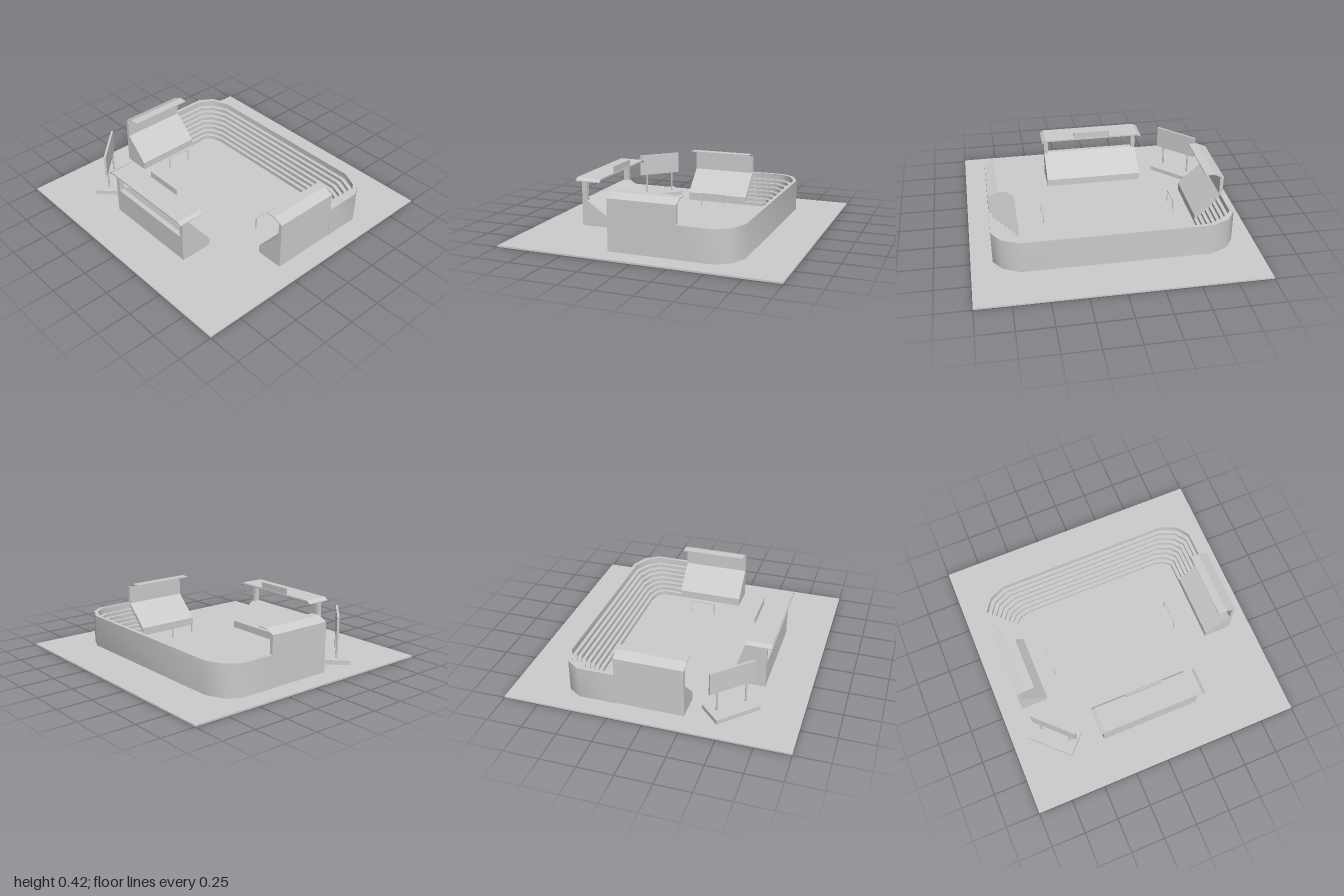
import * as THREE from 'three';
import { toCreasedNormals } from 'three/addons/utils/BufferGeometryUtils.js';

const material = new THREE.MeshStandardMaterial({ color: 0xcccccc });

function add(parent, name, geometry, x = 0, y = 0, z = 0) {
  const mesh = new THREE.Mesh(geometry, material);
  mesh.name = name;
  mesh.position.set(x, y, z);
  parent.add(mesh);
  return mesh;
}

const box = (parent, name, w, h, d, x, y, z) =>
  add(parent, name, new THREE.BoxGeometry(w, h, d), x, y, z);

const outline = (points) => new THREE.Shape(points.map(([x, y]) => new THREE.Vector2(x, y)));

// Extrusion centred on its own depth
function prism(points, depth) {
  const geometry = new THREE.ExtrudeGeometry(outline(points), { depth, bevelEnabled: false });
  return geometry.translate(0, 0, -depth / 2);
}

// Stepped terrace swept round three sides of the pitch
function createTerrace() {
  const group = new THREE.Group();
  group.name = 'terrace';

  // Cross-section: u runs from the pitch edge (0) to the outer wall (1)
  const profile = [[0, 0.004]];
  for (let k = 0; k < 8; k++) {
    const y = k < 7 ? 0.04 + 0.0267 * k : 0.245;
    profile.push([k / 8, y], [(k + 1) / 8, y]);
  }
  profile.push([1, 0.004]);

  // Half of the plan: inner x, inner z, outer x, outer z
  const half = [
    [0.645, -0.25, 0.848, -0.25],
    [0.645, -0.398, 0.848, -0.51],
    [0.6, -0.44, 0.786, -0.602],
    [0.524, -0.46, 0.663, -0.66],
  ];
  const stations = [...half, ...half.map(([a, b, c, d]) => [-a, b, -c, d]).reverse()];
  const at = ([ix, iz, ox, oz], [u, y]) => [ix + (ox - ix) * u, y, iz + (oz - iz) * u];

  const positions = [];
  for (let i = 0; i < stations.length - 1; i++) {
    for (let j = 0; j < profile.length; j++) {
      const next = profile[(j + 1) % profile.length];
      const a = at(stations[i], profile[j]);
      const b = at(stations[i], next);
      const c = at(stations[i + 1], next);
      const d = at(stations[i + 1], profile[j]);
      positions.push(...a, ...b, ...c, ...a, ...c, ...d);
    }
  }
  const geometry = new THREE.BufferGeometry();
  geometry.setAttribute('position', new THREE.Float32BufferAttribute(positions, 3));
  geometry.computeVertexNormals();
  add(group, 'terraceSteps', toCreasedNormals(geometry, 0.75));

  // Closed ends
  for (const side of [1, -1]) {
    const end = profile.map(([u, y]) => [side * (0.645 + 0.203 * u), y]);
    add(group, 'terraceEnd', new THREE.ShapeGeometry(outline(end)), 0, 0, -0.25);
  }
  return group;
}

// Covered stand with sloped seating, back wall and cantilever roof
function createSideStand() {
  const group = new THREE.Group();
  group.name = 'sideStand';
  const length = 0.49;
  const seating = [[0.645, 0.004], [0.845, 0.004], [0.845, 0.24], [0.82, 0.24], [0.645, 0.072]];
  const shell = [
    [0.82, 0.22], [0.846, 0.22], [0.846, 0.376], [0.775, 0.407], [0.712, 0.407],
    [0.712, 0.4], [0.773, 0.4], [0.82, 0.379],
  ];
  add(group, 'seating', prism(seating, length));
  add(group, 'wallAndRoof', prism(shell, length));
  return group;
}

// Front stand, seats facing the pitch, open below a roof on two posts
function createFrontStand() {
  const group = new THREE.Group();
  group.name = 'frontStand';
  const seating = [[0.445, 0.018], [0.685, 0.018], [0.685, 0.21], [0.65, 0.21], [0.445, 0.072]];
  add(group, 'seating', prism(seating, 0.735).rotateY(-Math.PI / 2), -0.005);
  for (const x of [-0.357, 0.347]) {
    box(group, 'roofPost', 0.03, 0.16, 0.04, x, 0.285, 0.664);
  }
  const roof = [
    [-0.4, 0.35], [-0.37, 0.364], [0.36, 0.364], [0.386, 0.35],
    [0.386, 0.357], [0.361, 0.376], [-0.372, 0.376], [-0.4, 0.357],
  ];
  add(group, 'roof', prism(roof, 0.19), 0, 0, 0.626);
  box(group, 'roofSign', 0.28, 0.055, 0.008, -0.005, 0.395, 0.54);
  return group;
}

// Scoreboard on two posts, turned towards the pitch
function createScoreboard() {
  const group = new THREE.Group();
  group.name = 'scoreboard';
  box(group, 'base', 0.338, 0.032, 0.195, 0, 0.037, 0);
  for (const x of [-0.112, 0.112]) {
    add(group, 'boardPost', new THREE.CylinderGeometry(0.007, 0.007, 0.17, 10), x, 0.13, 0);
  }
  box(group, 'board', 0.342, 0.165, 0.016, 0, 0.283, 0);
  group.position.set(-0.687, 0, 0.523);
  group.rotation.y = -Math.PI / 4;
  return group;
}

// Goal frame of thin square bars
function createGoal(x) {
  const group = new THREE.Group();
  group.name = 'goal';
  const bar = 0.006;
  for (const z of [-0.092, 0.092]) box(group, 'goalPost', bar, 0.1, bar, 0, 0.06, z);
  box(group, 'crossbar', bar, bar, 0.19, 0, 0.107, 0);
  group.position.set(x, 0, -0.01);
  return group;
}

export function createModel() {
  const model = new THREE.Group();
  model.name = 'stadium';
  box(model, 'ground', 2, 0.012, 2, 0, 0.006, 0);
  model.add(createTerrace(), createFrontStand(), createScoreboard());
  for (const angle of [0, Math.PI]) {
    const stand = createSideStand();
    stand.rotation.y = angle;
    stand.position.z = -0.005;
    model.add(stand);
  }
  for (const x of [-0.52, 0.453]) model.add(createGoal(x));
  return model;
}
